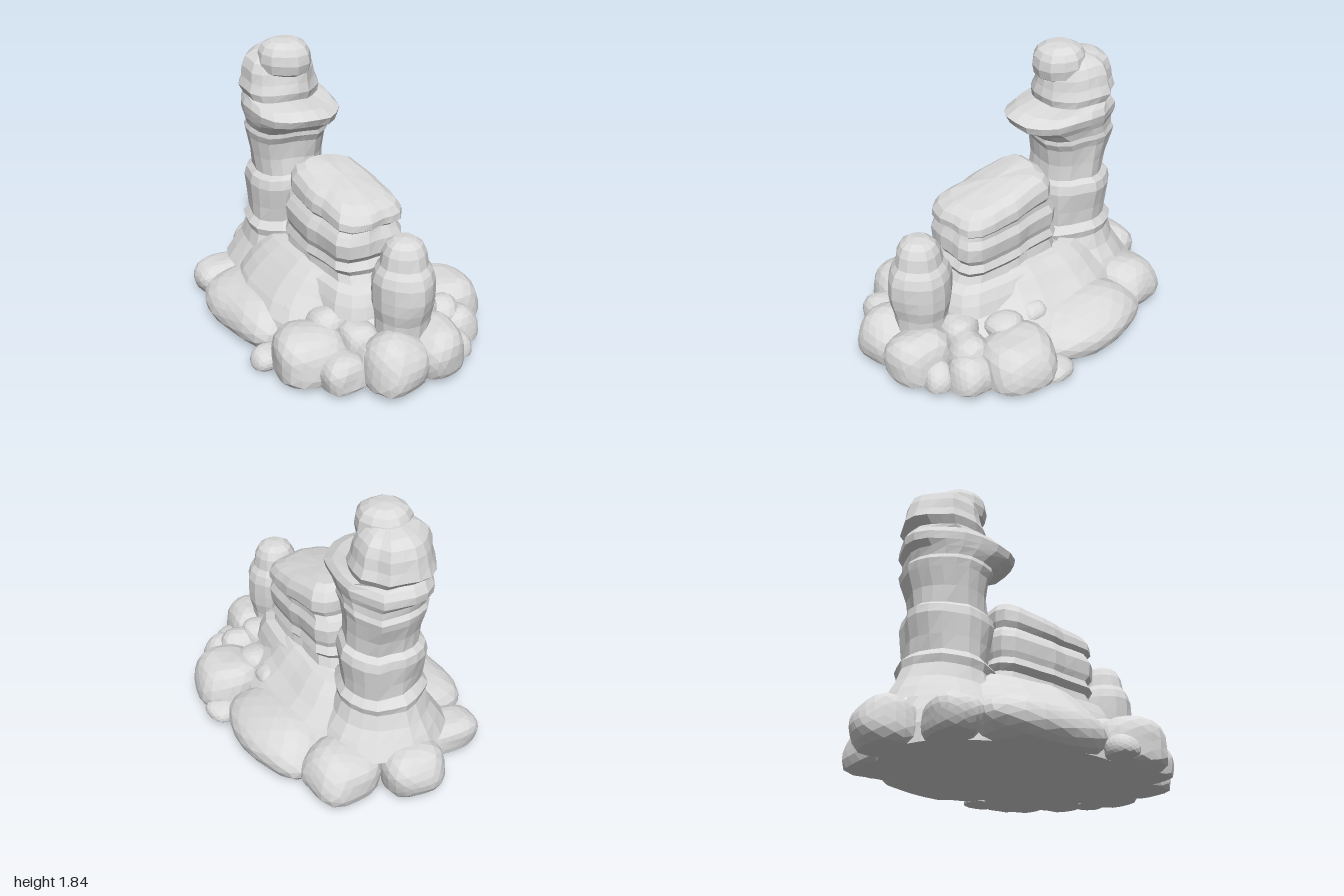
import * as THREE from 'three';

const stone = new THREE.MeshStandardMaterial({ color: 0xdadada, flatShading: true });
stone.name = 'stone';

const D = Math.SQRT1_2;
// slightly tilted flat underside
const floorY = (x) => Math.max(0, 0.035 * (x + 1));
// smooth repeatable unevenness, about -1..1
const rough = (x, y, z, s) =>
  (Math.sin(x * 9.1 + s * 1.7 + y * 3) + Math.sin(y * 11.3 + s * 2.9 + z * 4) + Math.sin(z * 8.3 + s * 0.7 - x * 5)) / 3;

// Stacked rock layers. Row: [y, u, w, radiusU, radiusW, tilt]; u runs along the diagonal ridge, w across it.
function layers(name, rows, { sides = 20, power = 2, bump = 0.02, seed = 1 } = {}) {
  const pos = [], index = [];
  rows.forEach(([y, u0, w0, ru, rw, tilt = 0]) => {
    const amount = bump * Math.min(1, ru / 0.25);
    for (let i = 0; i < sides; i++) {
      const a = (i / sides) * Math.PI * 2, c = Math.cos(a), s = Math.sin(a);
      const k = Math.pow(Math.abs(c) ** power + Math.abs(s) ** power, -1 / power);
      const n = rough(c, y, s, seed) * amount;
      const du = c * (k * ru + n), dw = s * (k * rw + n);
      const u = u0 + du, w = w0 + dw;
      const x = (u - w) * D, z = (u + w) * D;
      const lift = rough(s * 0.5, y * 0.4, c * 0.5, seed + 4) * amount * 0.8;
      pos.push(x, Math.max(floorY(x), y + tilt * du + lift), z);
    }
  });
  for (let j = 0; j < rows.length - 1; j++) {
    for (let i = 0; i < sides; i++) {
      const a = j * sides + i, b = j * sides + ((i + 1) % sides);
      index.push(a, a + sides, b, b, a + sides, b + sides);
    }
  }
  const geo = new THREE.BufferGeometry();
  geo.setAttribute('position', new THREE.Float32BufferAttribute(pos, 3));
  geo.setIndex(index);
  geo.computeVertexNormals();
  const mesh = new THREE.Mesh(geo, stone);
  mesh.name = name;
  return mesh;
}

// Blocky rounded boulder cut flat at the underside; ru lies along the diagonal, rw across it
function boulder(name, [x0, z0, ru, rw, top, low = top * 0.42], seed) {
  const geo = new THREE.IcosahedronGeometry(1, 3);
  const p = geo.attributes.position;
  for (let i = 0; i < p.count; i++) {
    const a = p.getX(i), b = p.getY(i), c = p.getZ(i);
    const k = Math.pow(Math.abs(a) ** 2.5 + Math.abs(b) ** 2.5 + Math.abs(c) ** 2.5, -1 / 2.5)
      * (0.97 + 0.09 * rough(a * 0.5, b * 0.4, c * 0.5, seed));
    const u = a * k * ru, w = c * k * rw;
    const x = x0 + (u - w) * D, z = z0 + (u + w) * D;
    p.setXYZ(i, x, Math.max(floorY(x), low + b * k * (top - low)), z);
  }
  geo.computeVertexNormals();
  const mesh = new THREE.Mesh(geo, stone);
  mesh.name = name;
  return mesh;
}

export function createModel() {
  const g = new THREE.Group();
  g.name = 'rockFormation';

  // broad foot under everything
  g.add(layers('foot', [
    [0, 0, 0, 0, 0], [0, 0, 0, 0.86, 0.62], [0.14, 0, 0, 0.85, 0.62],
    [0.24, -0.02, 0.01, 0.79, 0.58], [0.32, -0.04, 0.02, 0.72, 0.51], [0.4, -0.05, 0.03, 0.66, 0.42],
    [0.47, -0.04, 0.03, 0.62, 0.35], [0.53, -0.03, 0.03, 0.57, 0.28], [0.55, -0.03, 0.03, 0.45, 0.2],
  ], { sides: 28, bump: 0.025, seed: 2 }));

  // tall tower with its ledges
  g.add(layers('tower', [
    [0.25, -0.5, 0.04, 0.43, 0.42], [0.34, -0.5, 0.04, 0.38, 0.37], [0.42, -0.5, 0.04, 0.33, 0.32],
    [0.52, -0.5, 0.04, 0.29, 0.29], [0.57, -0.5, 0.04, 0.3, 0.3], [0.62, -0.5, 0.04, 0.25, 0.26],
    [0.72, -0.5, 0.04, 0.26, 0.26], [0.86, -0.5, 0.04, 0.28, 0.28], [0.92, -0.5, 0.04, 0.27, 0.27],
    [0.95, -0.49, 0.04, 0.24, 0.24], [1.06, -0.5, 0.04, 0.24, 0.25], [1.18, -0.51, 0.04, 0.27, 0.26],
    [1.23, -0.5, 0.04, 0.29, 0.27], [1.26, -0.49, 0.04, 0.28, 0.26], [1.31, -0.46, 0.05, 0.32, 0.27],
    [1.35, -0.44, 0.05, 0.38, 0.28], [1.4, -0.43, 0.05, 0.39, 0.29], [1.44, -0.46, 0.05, 0.33, 0.27],
    [1.46, -0.53, 0.06, 0.24, 0.25], [1.51, -0.55, 0.06, 0.27, 0.27], [1.57, -0.55, 0.06, 0.25, 0.25],
    [1.64, -0.55, 0.06, 0.235, 0.24], [1.7, -0.55, 0.06, 0.21, 0.21], [1.74, -0.54, 0.06, 0.16, 0.16],
    [1.76, -0.53, 0.06, 0.09, 0.09], [1.765, -0.53, 0.06, 0, 0],
  ], { power: 2.1, bump: 0.022, seed: 3 }));

  // rounded cap stone
  g.add(layers('capStone', [
    [1.6, -0.44, 0.07, 0.1, 0.1], [1.64, -0.44, 0.07, 0.165, 0.165], [1.7, -0.44, 0.07, 0.18, 0.175],
    [1.76, -0.44, 0.07, 0.17, 0.165], [1.8, -0.44, 0.07, 0.145, 0.14], [1.83, -0.44, 0.07, 0.09, 0.09],
    [1.84, -0.44, 0.07, 0, 0],
  ], { sides: 12, bump: 0.012, seed: 5 }));

  // layered slab leaning against the tower
  g.add(layers('slab', [
    [0.36, 0.15, 0.02, 0.53, 0.34], [0.44, 0.15, 0.02, 0.51, 0.32], [0.51, 0.15, 0.02, 0.48, 0.29],
    [0.54, 0.15, 0.02, 0.41, 0.24], [0.6, 0.15, 0.02, 0.38, 0.23, -0.03], [0.64, 0.15, 0.02, 0.4, 0.26, -0.03],
    [0.69, 0.15, 0.02, 0.37, 0.24, -0.04], [0.73, 0.16, 0.02, 0.39, 0.25, -0.04],
    [0.82, 0.16, 0.02, 0.39, 0.255, -0.05], [0.87, 0.16, 0.02, 0.37, 0.23, -0.06],
    [0.9, 0.17, 0.01, 0.35, 0.22, -0.08], [0.93, 0.18, 0.01, 0.37, 0.245, -0.1],
    [0.99, 0.18, 0.01, 0.37, 0.245, -0.15], [1.04, 0.18, 0.01, 0.34, 0.22, -0.18],
    [1.075, 0.17, 0.01, 0.28, 0.17, -0.2], [1.09, 0.15, 0.01, 0.16, 0.09, -0.2], [1.095, 0.14, 0.01, 0, 0],
  ], { sides: 28, power: 3.8, bump: 0.018, seed: 7 }));

  // small pinnacle at the front corner
  g.add(layers('pinnacle', [
    [0.3, 0.78, -0.01, 0.17, 0.17], [0.4, 0.78, -0.01, 0.175, 0.175], [0.48, 0.78, -0.01, 0.195, 0.195],
    [0.56, 0.78, -0.01, 0.205, 0.2], [0.66, 0.78, -0.01, 0.2, 0.2], [0.72, 0.78, -0.01, 0.18, 0.18],
    [0.76, 0.78, -0.01, 0.15, 0.15], [0.84, 0.78, -0.01, 0.135, 0.135], [0.89, 0.78, -0.01, 0.11, 0.11],
    [0.92, 0.78, -0.01, 0.07, 0.07], [0.93, 0.78, -0.01, 0, 0],
  ], { sides: 14, bump: 0.014, seed: 9 }));

  // boulders around the foot: [x, z, along diagonal, across diagonal, top, centre height]
  const boulders = [
    [0.25, -0.46, 0.44, 0.28, 0.33], [-0.47, 0.24, 0.43, 0.26, 0.31],
    [-0.22, -0.72, 0.24, 0.25, 0.32], [-0.64, -0.59, 0.22, 0.21, 0.33], [-0.82, -0.17, 0.15, 0.2, 0.24],
    [0.01, 0.72, 0.25, 0.24, 0.34], [-0.26, 0.71, 0.1, 0.11, 0.15], [0.24, 0.83, 0.15, 0.16, 0.25],
    [0.54, 0.74, 0.22, 0.21, 0.37], [0.75, 0.54, 0.21, 0.2, 0.37], [0.85, 0.2, 0.15, 0.15, 0.28],
    [0.74, 0.23, 0.14, 0.15, 0.36], [0.73, -0.08, 0.25, 0.23, 0.36], [0.7, -0.31, 0.11, 0.11, 0.16],
    [0.56, 0.02, 0.13, 0.12, 0.38, 0.28], [0.42, -0.15, 0.09, 0.08, 0.38, 0.3],
    [0.1, 0.56, 0.13, 0.14, 0.4, 0.28], [-0.12, 0.46, 0.09, 0.1, 0.37, 0.27],
    [0.3, 0.64, 0.13, 0.12, 0.36, 0.24], [0.62, 0.3, 0.13, 0.12, 0.4, 0.28],
    [0.88, 0.4, 0.1, 0.1, 0.22], [0.39, 0.75, 0.1, 0.1, 0.3],
  ];
  boulders.forEach((b, i) => g.add(boulder('boulder' + (i + 1), b, i * 1.3 + 1)));

  return g;
}
